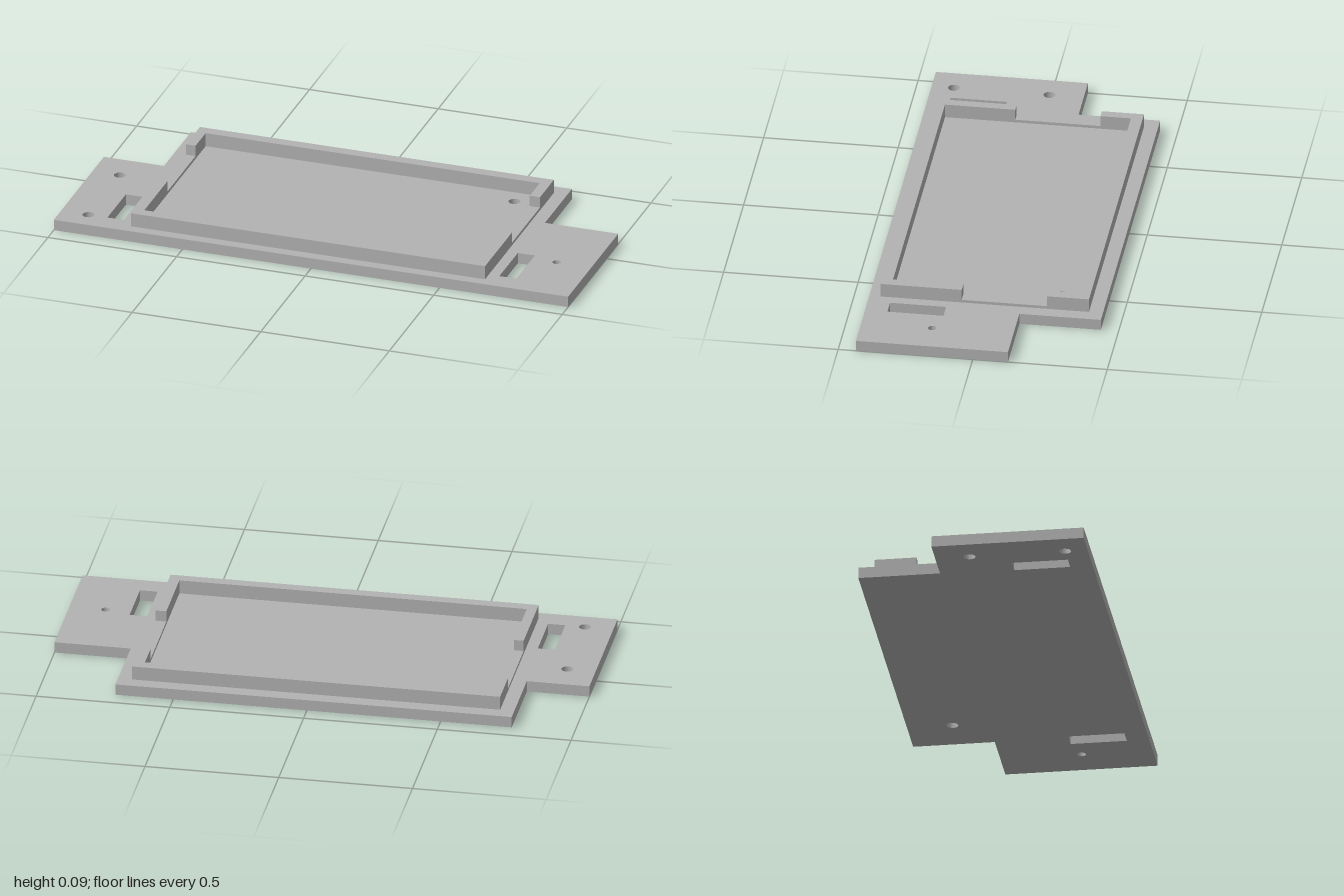
import * as THREE from 'three';

const PLATE_TOP = 0.042, LIP_TOP = 0.053, RIM_TOP = 0.095;

// Outlines are given as [x, z] and extruded upward from y0 to y1
function slab(name, shape, y0, y1, material) {
  const geometry = new THREE.ExtrudeGeometry(shape, { depth: y1 - y0, bevelEnabled: false, curveSegments: 16 });
  geometry.rotateX(-Math.PI / 2);
  geometry.translate(0, y0, 0);
  const mesh = new THREE.Mesh(geometry, material);
  mesh.name = name;
  return mesh;
}

const outline = (points) => points.map(([x, z]) => new THREE.Vector2(x, -z));
const rect = (x0, x1, z0, z1) => outline([[x0, z0], [x0, z1], [x1, z1], [x1, z0]]);

export function createModel() {
  const group = new THREE.Group();
  group.name = 'mountingTray';
  const grey = new THREE.MeshStandardMaterial({ color: 0xb2b2b2 });
  grey.name = 'plain grey';

  // Base plate with side ears, slots and screw holes
  const plate = new THREE.Shape(outline([
    [-1, 0.434], [1, 0.434], [1, -0.131], [0.715, -0.131],
    [0.715, -0.434], [-0.766, -0.434], [-0.766, -0.131], [-1, -0.131],
  ]));
  for (const [x0, x1] of [[-0.82, -0.756], [0.704, 0.77]]) {
    plate.holes.push(new THREE.Path(rect(x0, x1, 0.143, 0.351)));
  }
  for (const [x, z, r] of [[-0.894, -0.004, 0.022], [-0.894, 0.351, 0.022], [0.865, 0.17, 0.016], [0.55, -0.266, 0.022]]) {
    plate.holes.push(new THREE.Path().absarc(x, -z, r, 0, Math.PI * 2, true));
  }
  group.add(slab('basePlate', plate, 0, PLATE_TOP, grey));

  // Low lip running all round the tray
  const X0 = -0.713, X1 = 0.663, Z0 = -0.382, Z1 = 0.393;
  const x0 = -0.676, x1 = 0.623, z0 = -0.339, z1 = 0.352;
  const lip = new THREE.Shape(rect(X0, X1, Z0, Z1));
  lip.holes.push(new THREE.Path(rect(x0, x1, z0, z1)));
  group.add(slab('rimLip', lip, PLATE_TOP, LIP_TOP, grey));

  // Raised U-shaped walls, leaving a notch at each end
  for (const [name, outer, inner, end] of [['frontRim', Z1, z1, 0.091], ['backRim', Z0, z0, -0.226]]) {
    const wall = new THREE.Shape(outline([
      [X0, end], [X0, outer], [X1, outer], [X1, end],
      [x1, end], [x1, inner], [x0, inner], [x0, end],
    ]));
    group.add(slab(name, wall, LIP_TOP, RIM_TOP, grey));
  }
  return group;
}
